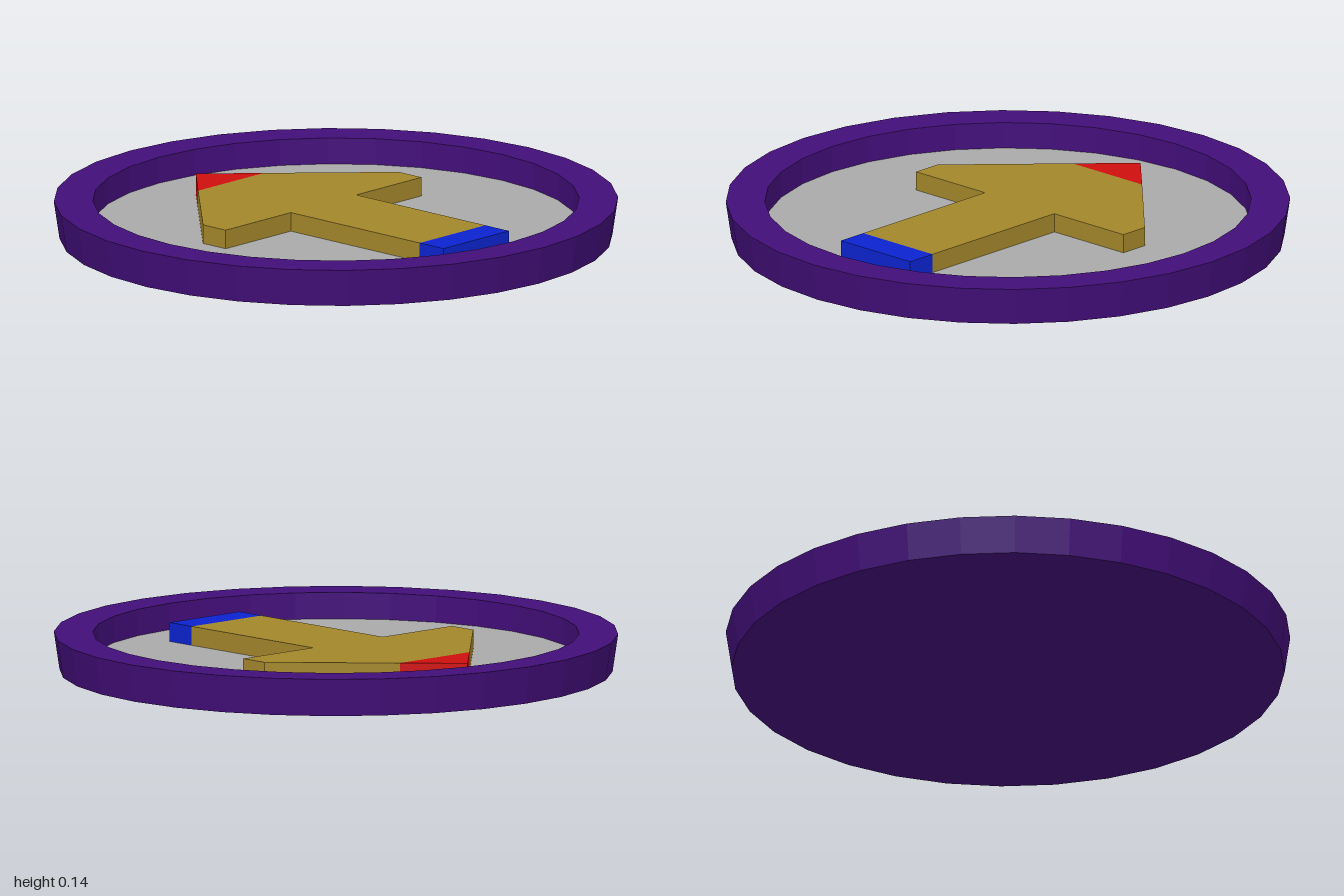
import * as THREE from 'three';

const flat = (name, color) => {
  const m = new THREE.MeshStandardMaterial({ color, flatShading: true });
  m.name = name;
  return m;
};

const SIDES = 32, RIM_TOP = 0.135, FLOOR = 0.04, ARROW_TOP = 0.108;

export function createModel() {
  const group = new THREE.Group();
  const purple = flat('purple', 0x430e7a);
  const grey = flat('grey', 0xa9a9a9);
  const gold = flat('gold', 0xa3862b);
  const red = flat('red', 0xcf0e0e);
  const blue = flat('blue', 0x0c23cf);

  const add = (name, geometry, material) => {
    const mesh = new THREE.Mesh(geometry, material);
    mesh.name = name;
    group.add(mesh);
    return mesh;
  };

  // Tray: closed base, slightly flared outer wall, flat rim and inner wall
  const profile = [[0, 0], [0.98, 0], [1, RIM_TOP], [0.862, RIM_TOP], [0.862, FLOOR]]
    .map(([r, y]) => new THREE.Vector2(r, y));
  add('trayRim', new THREE.LatheGeometry(profile, SIDES), purple);

  // Dial floor inside the rim
  const floor = add('dialFloor', new THREE.CircleGeometry(0.862, SIDES), grey);
  floor.rotation.x = -Math.PI / 2;
  floor.position.y = FLOOR;

  // Arrow pieces: right half outline as [x, z], mirrored and extruded upward
  const addSlab = (name, half, material) => {
    const mirrored = half.filter(([x]) => x > 0).reverse().map(([x, z]) => [-x, z]);
    const shape = new THREE.Shape([...half, ...mirrored].map(([x, z]) => new THREE.Vector2(x, -z)));
    const geometry = new THREE.ExtrudeGeometry(shape, { depth: ARROW_TOP - FLOOR, bevelEnabled: false });
    geometry.rotateX(-Math.PI / 2);
    add(name, geometry, material).position.y = FLOOR;
  };
  addSlab('arrowTip', [[0, -0.68], [0.17, -0.51]], red);
  addSlab('arrowBody', [[0.17, -0.51], [0.508, -0.17], [0.508, -0.06], [0.17, -0.06], [0.17, 0.565]], gold);
  addSlab('arrowTail', [[0.17, 0.565], [0.17, 0.68]], blue);

  return group;
}
